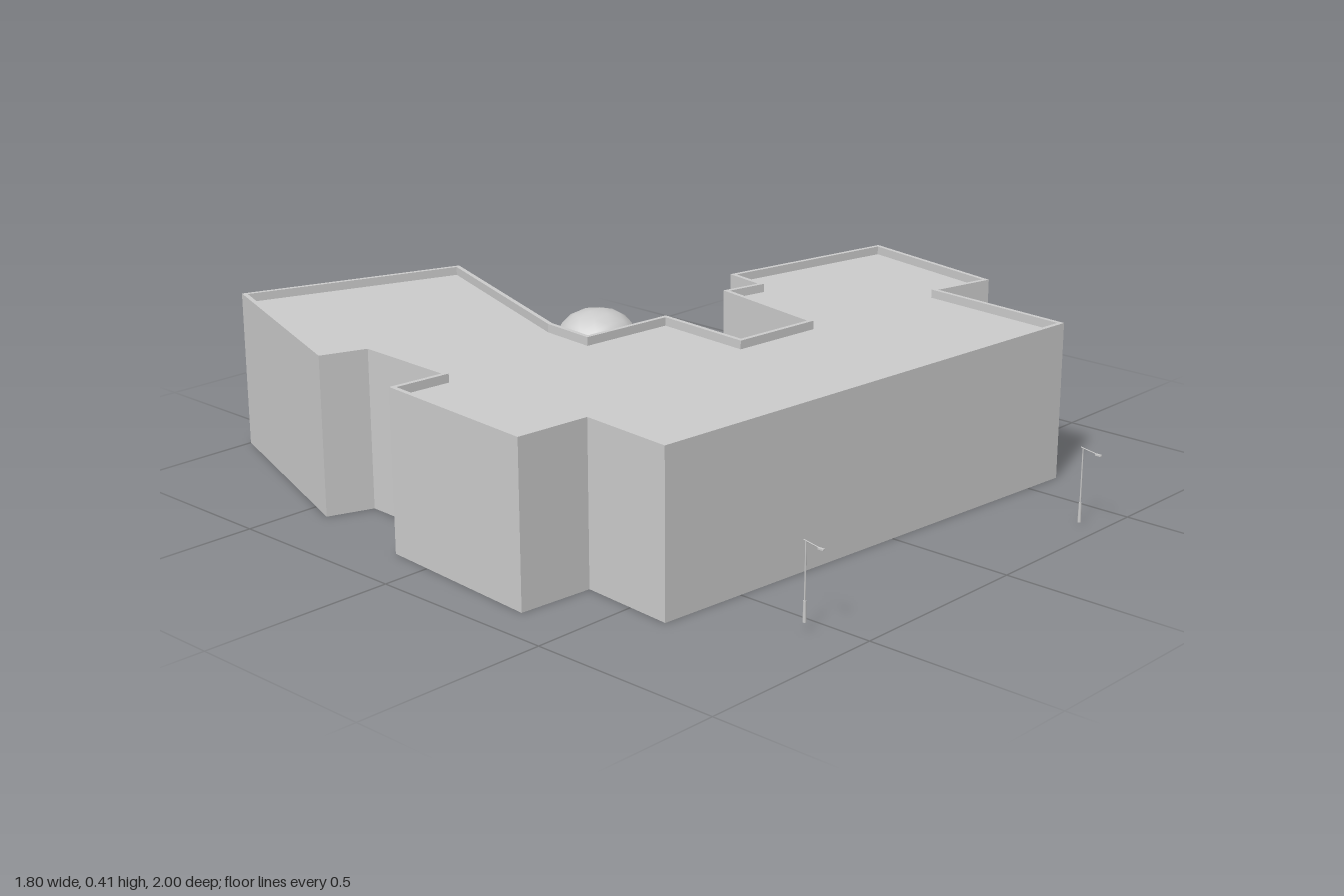
import * as THREE from 'three';
import { mergeVertices } from 'three/addons/utils/BufferGeometryUtils.js';

const grey = new THREE.MeshStandardMaterial({ color: 0xcccccc, side: THREE.DoubleSide });
const HEIGHT = 0.41, ROOF = 0.388, RIM = 0.012;

// Footprint corners as [x, z], clockwise seen from above
const footprint = [
  [-0.615, -1], [-0.045, -0.795], [-0.255, -0.217], [-0.268, -0.078], [-0.013, -0.057],
  [-0.035, 0.215], [0.193, 0.233], [0.257, -0.105], [0.367, -0.083], [0.388, -0.198],
  [0.897, -0.1], [0.812, 0.34], [0.643, 0.302], [0.612, 0.715], [-0.728, 0.614],
  [-0.707, 0.36], [-0.903, 0.345], [-0.865, -0.122], [-0.717, -0.11], [-0.707, -0.386],
  [-0.823, -0.428],
];

function add(parent, name, geometry, x = 0, y = 0, z = 0) {
  const mesh = new THREE.Mesh(geometry, grey);
  mesh.name = name;
  mesh.position.set(x, y, z);
  parent.add(mesh);
  return mesh;
}

// Moves every edge of a closed outline inwards by d
function inset(points, d) {
  const n = points.length;
  return points.map((p, i) => {
    const a = points[(i + n - 1) % n], b = points[(i + 1) % n];
    const u = new THREE.Vector2(p[0] - a[0], p[1] - a[1]).normalize();
    const v = new THREE.Vector2(b[0] - p[0], b[1] - p[1]).normalize();
    const k = d / (1 + u.dot(v));
    return [p[0] - (u.y + v.y) * k, p[1] + (u.x + v.x) * k];
  });
}

// Flat-faced skin between successive rings of points
function loft(rings, caps = false) {
  const pos = [];
  const quad = (a, b, c, d) => pos.push(...a, ...b, ...c, ...a, ...c, ...d);
  for (let r = 0; r < rings.length - 1; r++) {
    const n = rings[r].length;
    for (let i = 0; i < n; i++) {
      const j = (i + 1) % n;
      quad(rings[r][i], rings[r + 1][i], rings[r + 1][j], rings[r][j]);
    }
  }
  if (caps) {
    quad(...rings[0]);
    quad(...[...rings[rings.length - 1]].reverse());
  }
  const geometry = new THREE.BufferGeometry();
  geometry.setAttribute('position', new THREE.Float32BufferAttribute(pos, 3));
  geometry.computeVertexNormals();
  return geometry;
}

function building() {
  const group = new THREE.Group();
  group.name = 'building';
  const inner = inset(footprint, RIM);
  const ring = (points, y) => points.map(([x, z]) => [x, y, z]);
  add(group, 'outerWalls', loft([ring(footprint, 0), ring(footprint, HEIGHT)]));
  add(group, 'parapet', loft([ring(footprint, HEIGHT), ring(inner, HEIGHT), ring(inner, ROOF)]));
  const shape = new THREE.Shape(inner.map(([x, z]) => new THREE.Vector2(x, -z)));
  add(group, 'roof', new THREE.ShapeGeometry(shape).rotateX(-Math.PI / 2), 0, ROOF, 0);
  return group;
}

function tree() {
  const group = new THREE.Group();
  group.name = 'tree';
  // Slightly lumpy crown that narrows towards the trunk
  let crown = new THREE.IcosahedronGeometry(1, 2);
  crown.deleteAttribute('normal');
  crown.deleteAttribute('uv');
  crown = mergeVertices(crown, 1e-3);
  const p = crown.attributes.position, v = new THREE.Vector3();
  for (let i = 0; i < p.count; i++) {
    v.fromBufferAttribute(p, i);
    const lump = 1 + 0.035 * Math.sin(5 * v.x + 2 * v.z) * Math.cos(4 * v.z - 3 * v.y);
    const taper = v.y < 0 ? 1 + 0.2 * v.y : 1;
    p.setXYZ(i, v.x * 0.114 * lump * taper, v.y * (v.y < 0 ? 0.105 : 0.088), v.z * 0.109 * lump * taper);
  }
  crown.computeVertexNormals();
  add(group, 'crown', crown, 0, 0.3, 0);
  add(group, 'trunk', new THREE.CylinderGeometry(0.006, 0.008, 0.16, 8), 0, 0.135, 0);
  group.position.set(-0.035, 0, -0.281);
  return group;
}

// Curved tapering bench: sections of [z, left x, right x, bottom y, top y]
function bench() {
  const sections = [
    [-0.7, 0.093, 0.13, 0.065, 0.118], [-0.6, 0.082, 0.108, 0.061, 0.113],
    [-0.5, 0.103, 0.119, 0.057, 0.107], [-0.42, 0.147, 0.152, 0.054, 0.102],
  ];
  return loft(sections.map(([z, x0, x1, y0, y1]) =>
    [[x0, y0, z], [x0, y1, z], [x1, y1, z], [x1, y0, z]].reverse()), true);
}

function streetLamp(x, y, z) {
  const group = new THREE.Group();
  group.name = 'streetLamp';
  add(group, 'pole', new THREE.CylinderGeometry(0.0016, 0.0022, 0.19, 8), 0, 0.095, 0);
  add(group, 'poleBase', new THREE.CylinderGeometry(0.0035, 0.0045, 0.05, 8), 0, 0.025, 0);
  const arm = new THREE.LineCurve3(new THREE.Vector3(0, 0.19, -0.006), new THREE.Vector3(-0.004, 0.183, 0.05));
  add(group, 'arm', new THREE.TubeGeometry(arm, 1, 0.0014, 6));
  add(group, 'lampHead', new THREE.BoxGeometry(0.006, 0.004, 0.016), -0.004, 0.183, 0.046);
  group.position.set(x, y, z);
  return group;
}

export function createModel() {
  const model = new THREE.Group();
  model.name = 'buildingWithCourtyard';
  model.add(building(), tree());
  add(model, 'bench', bench());
  model.add(streetLamp(-0.56, 0.024, 0.868), streetLamp(0.375, 0.008, 0.944));
  return model;
}
